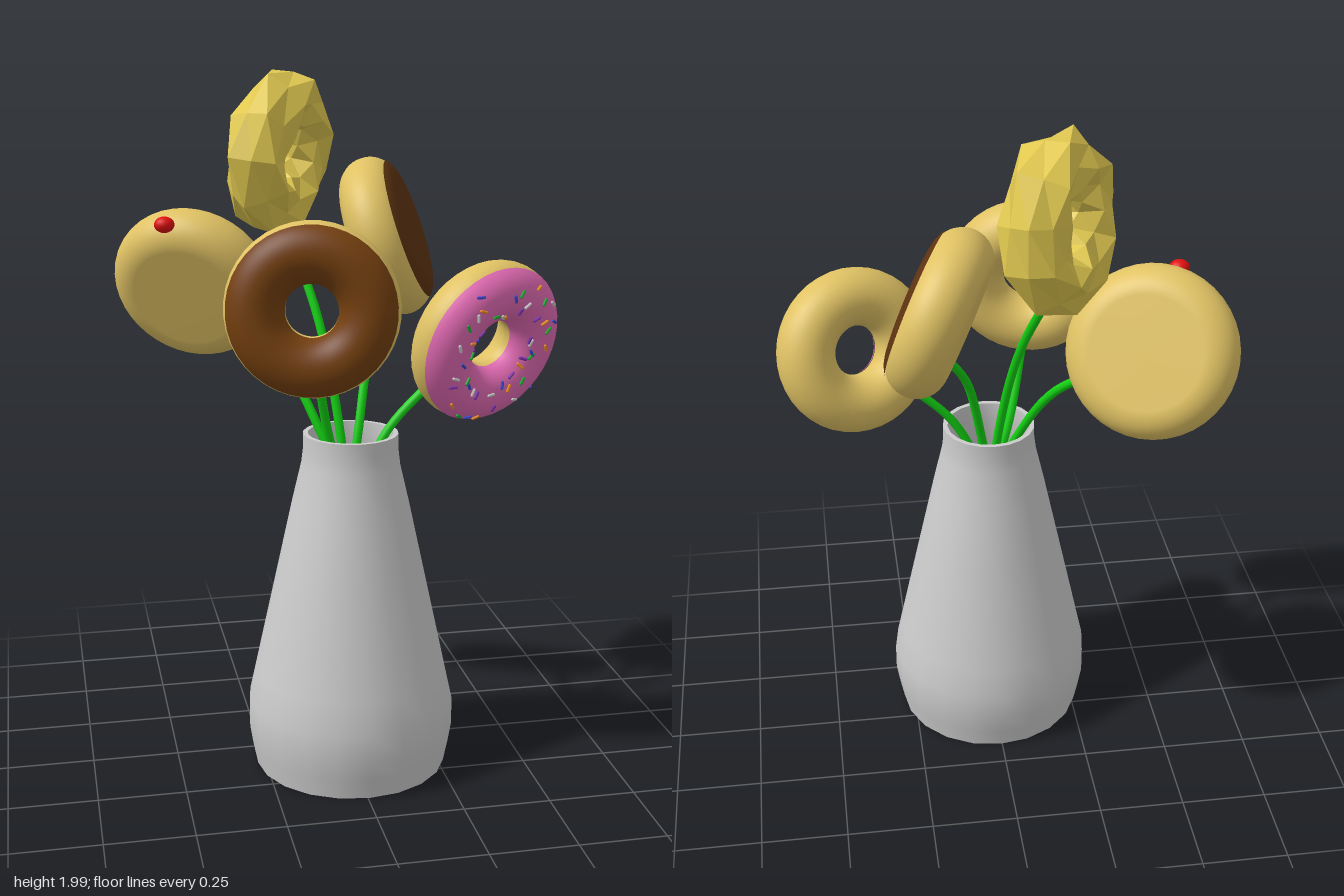
import * as THREE from 'three';
import { toCreasedNormals } from 'three/addons/utils/BufferGeometryUtils.js';

const RING = 0.155, TUBE = 0.083; // shared pastry size
const UP = new THREE.Vector3(0, 1, 0);
const mat = (color, extra = {}) => new THREE.MeshStandardMaterial({ color, ...extra });
const dough = mat(0xe0c264);
const chocolate = mat(0x75400f);
const darkChocolate = mat(0x5c3210);
const pink = mat(0xe56cb6);
const green = mat(0x12d012);

function add(parent, name, geometry, material) {
  const mesh = new THREE.Mesh(geometry, material);
  mesh.name = name;
  parent.add(mesh);
  return mesh;
}

// Profile points round the tube section, angles in degrees (0 = outer edge, 90 = face)
function arc(from, to, t = TUBE, steps = 24) {
  return Array.from({ length: steps + 1 }, (_, i) => {
    const a = THREE.MathUtils.degToRad(from + (to - from) * i / steps);
    return new THREE.Vector2(RING + t * Math.cos(a), t * Math.sin(a));
  });
}

const lathe = (points, segments = 40) => new THREE.LatheGeometry(points, segments);

// Group at a position whose local y axis points along the pastry's facing direction
function pastry(parent, name, position, facing) {
  const g = new THREE.Group();
  g.name = name;
  g.position.set(...position);
  g.quaternion.setFromUnitVectors(UP, new THREE.Vector3(...facing).normalize());
  parent.add(g);
  return g;
}

// Ring pastry with icing on its face
function ringPastry(parent, name, position, facing, icing, edge) {
  const g = pastry(parent, name, position, facing);
  add(g, 'doughRing', lathe(arc(-180, 180, TUBE, 32)), dough);
  add(g, 'icing', lathe(arc(edge, 165, TUBE + 0.003)), icing);
  return g;
}

// Filled round pastry: flat faces and a rounded rim
function filledPastry(parent, name, position, facing) {
  const g = pastry(parent, name, position, facing);
  const p = [new THREE.Vector2(0, -TUBE), ...arc(-90, 90), new THREE.Vector2(0, TUBE)];
  add(g, 'doughDisc', lathe(p), dough);
  return g;
}

// Twisted ring: a ridged section that turns once on its way round
function twistedRing() {
  const around = 11, sides = 8, pos = [], idx = [];
  for (let i = 0; i < around; i++) {
    const u = i / around * Math.PI * 2;
    for (let j = 0; j < sides; j++) {
      const v = j / sides * Math.PI * 2 + u;
      const t = j % 2 ? 0.076 : 0.096;
      const r = RING + t * Math.cos(v);
      pos.push(r * Math.sin(u), t * Math.sin(v), r * Math.cos(u));
      const i2 = (i + 1) % around, j2 = (j + 1) % sides;
      const a = i * sides + j, b = i2 * sides + j, c = i2 * sides + j2, d = i * sides + j2;
      idx.push(a, b, d, b, c, d);
    }
  }
  const geo = new THREE.BufferGeometry();
  geo.setAttribute('position', new THREE.Float32BufferAttribute(pos, 3));
  geo.setIndex(idx);
  geo.computeVertexNormals();
  return geo;
}

// Sprinkles scattered over the icing, each lying on the surface
function addSprinkles(g) {
  let seed = 7;
  const rnd = () => (seed = (seed * 16807) % 2147483647) / 2147483647;
  const colors = [0x18b030, 0x3848d0, 0xf09020, 0xf0f0f0, 0x8030b0].map(c => mat(c));
  const geo = new THREE.CapsuleGeometry(0.0045, 0.017, 3, 6);
  for (let i = 0; i < 50; i++) {
    const u = i * 2.39996, a = THREE.MathUtils.degToRad(42 + 90 * rnd());
    const n = new THREE.Vector3(Math.cos(a) * Math.sin(u), Math.sin(a), Math.cos(a) * Math.cos(u));
    const s = add(g, 'sprinkle', geo, colors[i % colors.length]);
    s.position.set(RING * Math.sin(u), 0, RING * Math.cos(u)).addScaledVector(n, TUBE + 0.005);
    const side = new THREE.Vector3(Math.cos(u), 0, -Math.sin(u));
    s.quaternion.setFromUnitVectors(UP, side.applyAxisAngle(n, rnd() * Math.PI));
  }
}

export function createModel() {
  const model = new THREE.Group();
  model.name = 'pastryBouquet';

  // Vase, hollow with a thin rim
  const profile = [
    [0, 0], [0.278, 0], [0.29, 0.06], [0.3, 0.12], [0.3, 0.2], [0.28, 0.29], [0.256, 0.4],
    [0.212, 0.6], [0.168, 0.8], [0.142, 0.91], [0.137, 0.95], [0.136, 1.0],
    [0.122, 1.0], [0.122, 0.93], [0.154, 0.8], [0.242, 0.4], [0.284, 0.2], [0.264, 0.02], [0, 0.02],
  ].map(p => new THREE.Vector2(...p));
  const vase = add(model, 'vase', toCreasedNormals(lathe(profile, 20), 0.6), mat(0xcccccc));
  vase.position.set(0.005, 0, 0.108);

  // Stems, from inside the vase through its mouth to each pastry
  const stems = [
    [[0.02, 0.5, 0.17], [-0.01, 0.8, 0.12], [-0.065, 1.0, 0.145], [-0.115, 1.22, 0.23]],
    [[-0.03, 0.5, 0.13], [0.02, 0.8, 0.125], [0.105, 1.0, 0.125], [0.26, 1.16, 0.115]],
    [[-0.01, 0.5, 0.13], [0.005, 0.8, 0.1], [0.035, 1.0, 0.075], [0.08, 1.2, 0.0], [0.16, 1.36, -0.12]],
    [[0.02, 0.5, 0.12], [0.0, 0.8, 0.08], [-0.075, 1.0, 0.04], [-0.16, 1.18, -0.05], [-0.28, 1.31, -0.17]],
    [[0.01, 0.5, 0.1], [0.0, 0.8, 0.07], [-0.015, 1.0, 0.045], [-0.06, 1.3, -0.04], [-0.14, 1.58, -0.18]],
  ];
  for (const pts of stems) {
    const curve = new THREE.CatmullRomCurve3(pts.map(p => new THREE.Vector3(...p)));
    add(model, 'stem', new THREE.TubeGeometry(curve, 24, 0.013, 8), green);
  }

  // Chocolate ring and pink ring with sprinkles
  ringPastry(model, 'chocolateRing', [-0.135, 1.39, 0.28], [-0.22, 0.06, 0.97], chocolate, 30);
  addSprinkles(ringPastry(model, 'pinkRing', [0.385, 1.257, 0.135], [0.4, -0.27, 0.87], pink, 22));

  // Filled pastry with a flat chocolate top
  const iced = filledPastry(model, 'chocolateToppedPastry', [0.17, 1.513, -0.177], [0.885, 0.335, 0.32]);
  add(iced, 'icing', lathe([...arc(52, 90, TUBE + 0.003, 8), new THREE.Vector2(0, TUBE + 0.003)]), darkChocolate);

  // Filled pastry with a drop of jam on its rim
  filledPastry(model, 'jamPastry', [-0.396, 1.385, -0.225], [-0.41, -0.4, 0.82]);
  const jam = add(model, 'jamDrop', new THREE.SphereGeometry(0.029, 16, 12), mat(0xe01010));
  jam.position.set(-0.487, 1.573, -0.108);
  jam.scale.set(1, 0.8, 0.9);

  // Twisted ring pastry
  const twisted = pastry(model, 'twistedPastry', [-0.143, 1.76, -0.195], [0.83, -0.12, 0.54]);
  add(twisted, 'twistedDough', twistedRing(), mat(0xe0c850, { flatShading: true }));

  return model;
}
